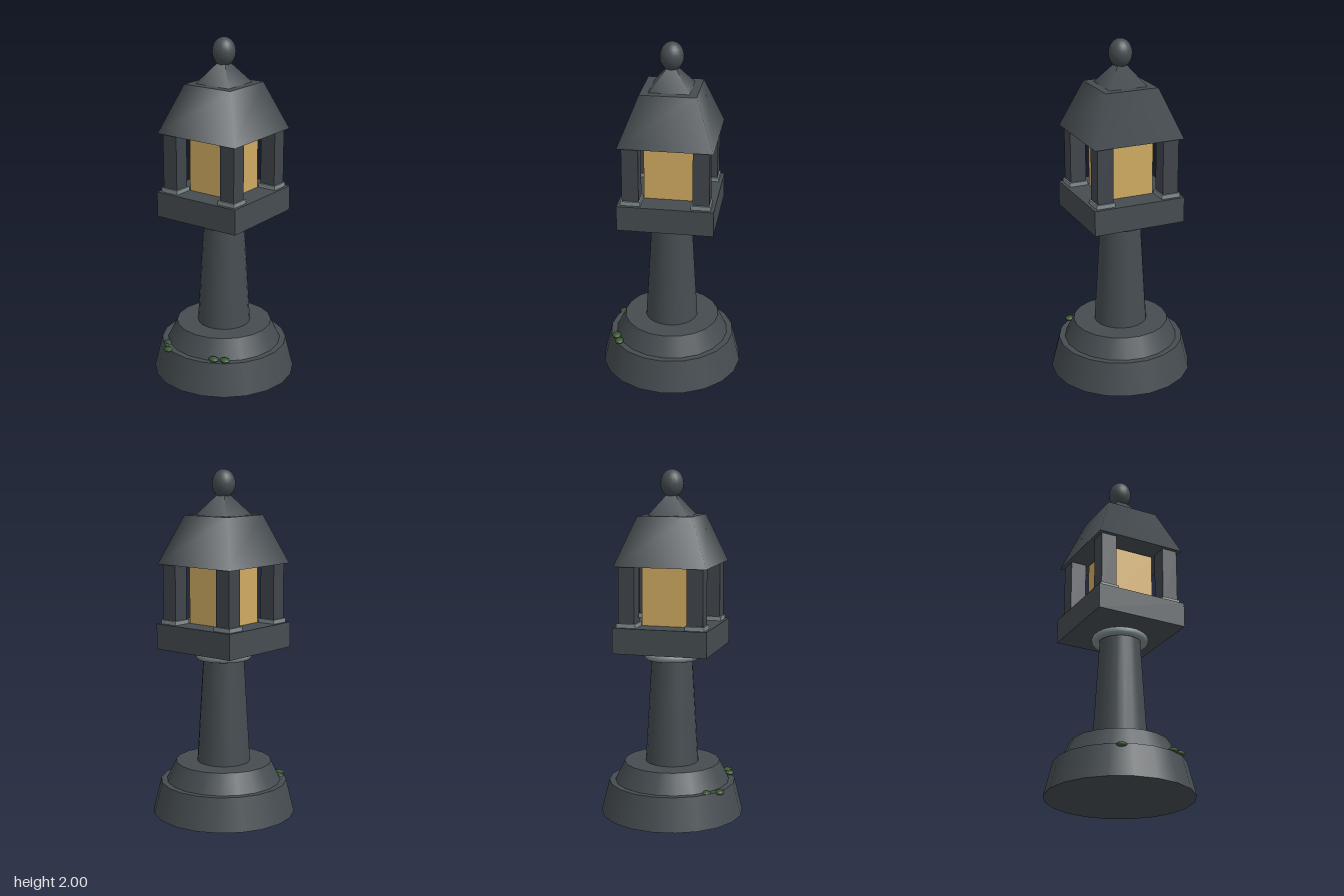
import * as THREE from 'three';

export function createModel() {
  const model = new THREE.Group();
  model.name = 'stoneLantern';

  const material = (name, color) => {
    const m = new THREE.MeshStandardMaterial({ color });
    m.name = name;
    return m;
  };
  const stone = material('dark stone', 0x454c50);
  const postStone = material('post stone', 0x40454b);
  const trim = material('pale trim', 0x828e90);
  const glow = material('amber panel', 0xd0ab62);
  const moss = material('moss', 0x38562f);

  const add = (name, geometry, mat, x, y, z) => {
    const mesh = new THREE.Mesh(geometry, mat);
    mesh.name = name;
    mesh.position.set(x, y, z);
    model.add(mesh);
    return mesh;
  };
  // Round tapered part standing between two heights
  const taper = (name, rTop, rBottom, y0, y1, sides) =>
    add(name, new THREE.CylinderGeometry(rTop, rBottom, y1 - y0, sides), stone, 0, (y0 + y1) / 2, 0);
  // Square tapered part, sized by half widths
  const squareTaper = (name, hTop, hBottom, y0, y1) => {
    const mesh = taper(name, hTop * Math.SQRT2, hBottom * Math.SQRT2, y0, y1, 4);
    mesh.rotation.y = Math.PI / 4;
  };
  const box = (name, w, y0, y1, mat, x = 0, z = 0) =>
    add(name, new THREE.BoxGeometry(w, y1 - y0, w), mat, x, (y0 + y1) / 2, z);

  // Stepped base and shaft
  taper('baseTier', 0.37, 0.417, 0, 0.19, 20);
  taper('upperTier', 0.28, 0.335, 0.19, 0.305, 20);
  taper('shaft', 0.115, 0.155, 0.305, 0.975, 20);
  const collar = add('collar', new THREE.TorusGeometry(0.14, 0.024, 12, 32), trim, 0, 0.936, 0);
  collar.rotation.x = Math.PI / 2;

  // Light chamber
  box('platform', 0.546, 0.975, 1.122, stone);
  box('lightPanel', 0.276, 1.122, 1.455, glow);
  for (const x of [-0.198, 0.198]) {
    for (const z of [-0.198, 0.198]) {
      box('post', 0.094, 1.122, 1.467, postStone, x, z);
      box('postFoot', 0.112, 1.122, 1.146, trim, x, z);
    }
  }

  // Roof, cap and finial
  squareTaper('roof', 0.158, 0.267, 1.465, 1.742);
  squareTaper('roofCap', 0, 0.113, 1.742, 1.89);
  const finial = add('finial', new THREE.SphereGeometry(0.067, 20, 14), stone, 0, 1.919, 0);
  finial.scale.y = 0.081 / 0.067;

  // Moss clumps on the base ledge
  const clumps = [
    [0.155, 0.206, 0.312], [0.214, 0.206, 0.285],
    [-0.163, 0.183, 0.327], [-0.213, 0.187, 0.261],
  ];
  for (const [x, y, z] of clumps) {
    const clump = add('mossClump', new THREE.SphereGeometry(0.031, 12, 8), moss, x, y, z);
    clump.scale.set(1, 0.45, 0.85);
  }
  return model;
}
